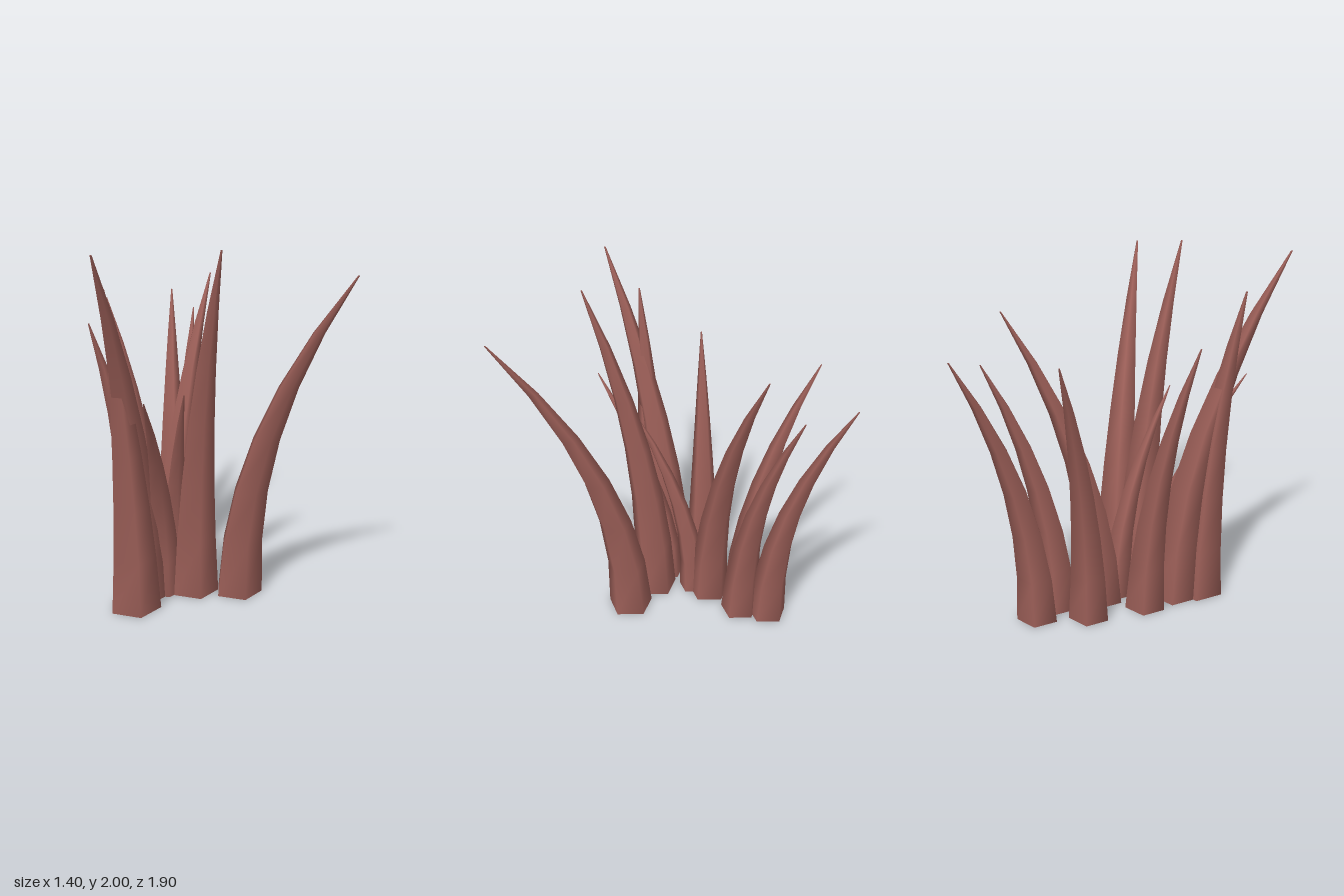
import * as THREE from 'three';

const SIDES = 5, RINGS = 6;

// Curved, tapering five-sided spike: the lean grows with the square of the height.
function spikeGeometry([bx, bz, radius, tx, tz, height]) {
  const pos = [], index = [];
  const addRing = (t) => {
    const first = pos.length / 3;
    const r = radius * Math.max(Math.pow(1 - t, 0.8), 0.035);
    const cx = bx + (tx - bx) * t * t;
    const cz = bz + (tz - bz) * t * t;
    for (let i = 0; i < SIDES; i++) {
      const a = (i / SIDES) * Math.PI * 2;
      pos.push(cx + r * Math.cos(a), height * t, cz + r * Math.sin(a));
    }
    return first;
  };

  // smooth sides
  for (let k = 0; k <= RINGS; k++) addRing(k / RINGS);
  for (let k = 0; k < RINGS; k++) {
    for (let i = 0; i < SIDES; i++) {
      const j = (i + 1) % SIDES;
      const a = k * SIDES + i, b = k * SIDES + j;
      const c = a + SIDES, d = b + SIDES;
      index.push(a, c, b, b, c, d);
    }
  }

  // flat base and blunt tip, with their own corners so the rims stay crisp
  const base = addRing(0), tip = addRing(1);
  for (let i = 1; i < SIDES - 1; i++) {
    index.push(base, base + i, base + i + 1);
    index.push(tip, tip + i + 1, tip + i);
  }

  const g = new THREE.BufferGeometry();
  g.setAttribute('position', new THREE.Float32BufferAttribute(pos, 3));
  g.setIndex(index);
  g.computeVertexNormals();
  return g;
}

export function createModel() {
  const group = new THREE.Group();
  group.name = 'spikeCluster';
  const material = new THREE.MeshStandardMaterial({ color: 0x9c5f58 });
  material.name = 'reddishBrown';

  // base x, base z, base radius, tip x, tip z, height
  const spikes = [
    [-0.304, -0.47, 0.119, -0.32, -0.945, 1.56],
    [-0.235, -0.31, 0.117, -0.17, -0.715, 1.48],
    [-0.282, -0.05, 0.127, -0.06, -0.545, 1.72],
    [-0.43, -0.21, 0.117, -0.695, -0.52, 1.57],
    [-0.477, 0.13, 0.117, -0.695, 0.305, 1.56],
    [-0.267, 0.06, 0.09, -0.18, 0.45, 1.2],
    [-0.138, 0.27, 0.138, 0.022, 0.635, 1.99],
    [0.113, 0.28, 0.138, 0.693, 0.74, 1.88],
    [-0.305, 0.285, 0.1, -0.36, 0.855, 1.26],
    [-0.433, 0.355, 0.145, -0.585, 0.945, 2.0],
    [-0.458, 0.505, 0.145, -0.565, 0.675, 1.8],
  ];
  spikes.forEach((s, i) => {
    const mesh = new THREE.Mesh(spikeGeometry(s), material);
    mesh.name = `spike${i + 1}`;
    group.add(mesh);
  });
  return group;
}
